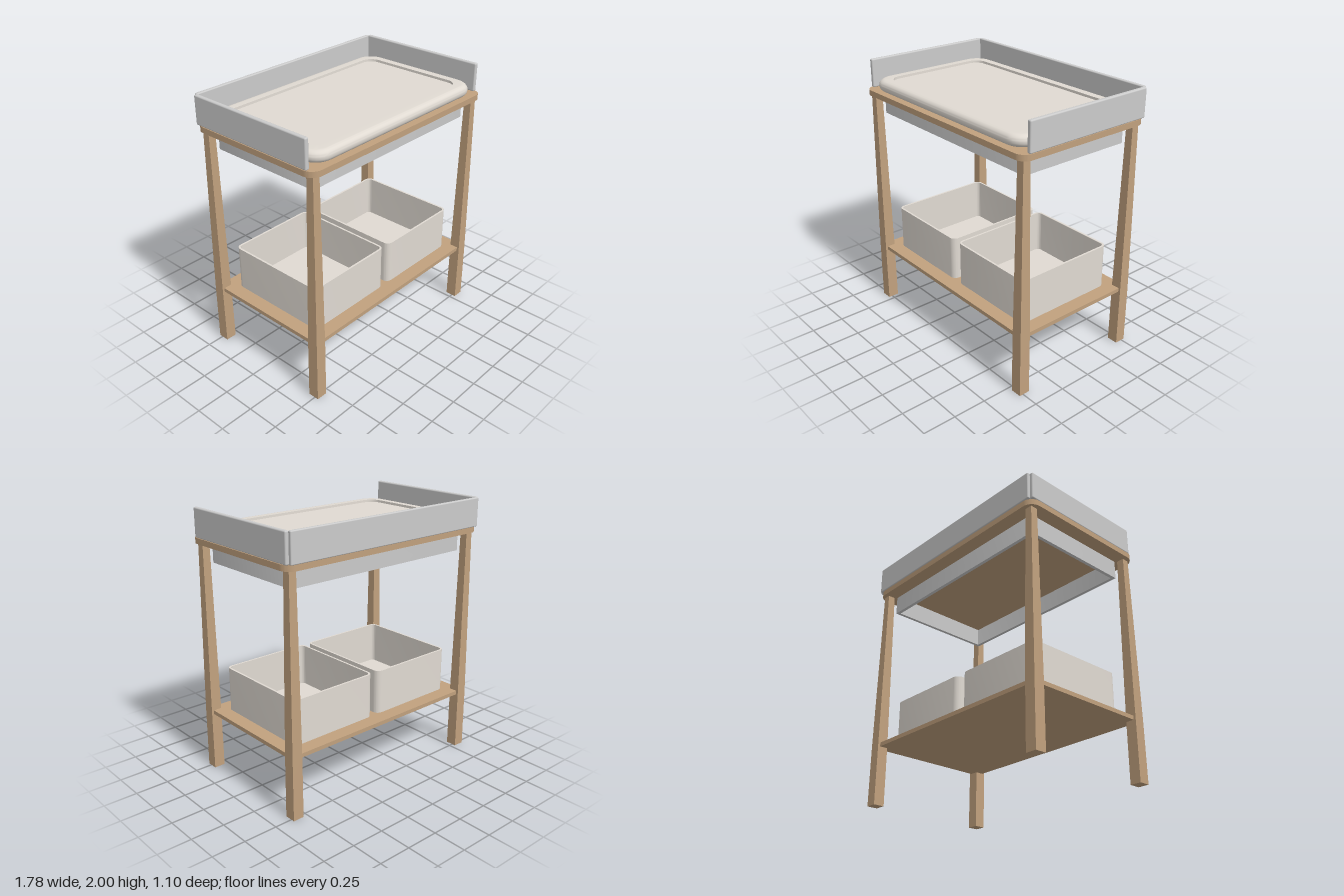
import * as THREE from 'three';
import { toCreasedNormals } from 'three/addons/utils/BufferGeometryUtils.js';
import { RoundedBoxGeometry } from 'three/addons/geometries/RoundedBoxGeometry.js';

const wood = new THREE.MeshStandardMaterial({ color: 0xc1a17e });
const grey = new THREE.MeshStandardMaterial({ color: 0xcccccc });
const fabric = new THREE.MeshStandardMaterial({ color: 0xe0dad2 });

function add(parent, name, geometry, material, x = 0, y = 0, z = 0) {
  const mesh = new THREE.Mesh(geometry, material);
  mesh.name = name;
  mesh.position.set(x, y, z);
  parent.add(mesh);
  return mesh;
}

// Outline of a rectangle with rounded corners, centred on the origin
function roundedRect(w, d, r, Type = THREE.Shape) {
  const s = new Type(), x = w / 2 - r, y = d / 2 - r;
  s.absarc(x, y, r, 0, Math.PI / 2);
  s.absarc(-x, y, r, Math.PI / 2, Math.PI);
  s.absarc(-x, -y, r, Math.PI, Math.PI * 1.5);
  s.absarc(x, -y, r, Math.PI * 1.5, Math.PI * 2);
  s.closePath();
  return s;
}

// Upright slab of a rounded outline, standing on y = 0, optionally hollow
function slab(w, d, r, height, wall = 0) {
  const s = roundedRect(w, d, r);
  if (wall) s.holes.push(roundedRect(w - 2 * wall, d - 2 * wall, Math.max(r - wall, 0.001), THREE.Path));
  const g = new THREE.ExtrudeGeometry(s, { depth: height, bevelEnabled: false, curveSegments: 8 });
  g.rotateX(-Math.PI / 2);
  return toCreasedNormals(g, 0.6);
}

// Cushion: rounded outlines of changing inset and height, joined from bottom to top
function cushion(w, d, r, sections) {
  const n = 8, pos = [], index = [], count = 4 * (n + 1);
  for (const [inset, y] of sections) {
    const radius = Math.max(r - inset * 0.45, 0.02);
    for (let c = 0; c < 4; c++) {
      const sx = c === 0 || c === 3 ? 1 : -1, sz = c < 2 ? 1 : -1;
      for (let i = 0; i <= n; i++) {
        const a = (c + i / n) * Math.PI / 2;
        pos.push(sx * (w / 2 - inset - radius) + radius * Math.cos(a), y,
          -sz * (d / 2 - inset - radius) - radius * Math.sin(a));
      }
    }
  }
  for (let k = 0; k < sections.length - 1; k++) {
    for (let i = 0; i < count; i++) {
      const j = (i + 1) % count, a = k * count, b = a + count;
      index.push(a + i, a + j, b + j, a + i, b + j, b + i);
    }
  }
  // Flat ends
  const last = (sections.length - 1) * count;
  for (let i = 1; i < count - 1; i++) {
    index.push(0, i + 1, i, last, last + i, last + i + 1);
  }
  const g = new THREE.BufferGeometry();
  g.setAttribute('position', new THREE.Float32BufferAttribute(pos, 3));
  g.setIndex(index);
  return toCreasedNormals(g, 0.6);
}

// Square leg, straight up to the shelf and tapering above it
function legGeometry() {
  const h = 1.746, g = new THREE.BoxGeometry(1, h, 1, 1, 2, 1);
  const p = g.attributes.position;
  for (let i = 0; i < p.count; i++) {
    const row = Math.round(p.getY(i) / h * 2) + 1;
    const width = [0.084, 0.082, 0.056][row];
    p.setXYZ(i, p.getX(i) * width, [0, 0.45, h][row], p.getZ(i) * width);
  }
  g.computeVertexNormals();
  return g;
}

export function createModel() {
  const model = new THREE.Group();
  model.name = 'changingTable';

  // Legs
  const leg = legGeometry();
  for (const x of [-0.826, 0.826])
    for (const z of [-0.486, 0.488])
      add(model, (z > 0 ? 'front' : 'back') + 'Leg' + (x > 0 ? 'Left' : 'Right'), leg, wood, x, 0, z);

  // Tabletop, lower shelf and the open frame below the top
  add(model, 'tabletop', slab(1.78, 1.097, 0.08, 0.042), wood, 0, 1.745, 0.001);
  add(model, 'lowerShelf', new THREE.BoxGeometry(1.7, 0.03, 1.02), wood, 0, 0.46, 0.001);
  add(model, 'apron', slab(1.568, 0.888, 0.002, 0.146, 0.025), grey, 0, 1.6, 0.002);

  // Guard panels on the back and both sides
  add(model, 'backPanel', new RoundedBoxGeometry(1.73, 0.213, 0.03, 3, 0.008), grey, 0, 1.8935, -0.54);
  for (const s of [-1, 1])
    add(model, s > 0 ? 'sidePanelLeft' : 'sidePanelRight',
      new RoundedBoxGeometry(0.032, 0.213, 1.027, 3, 0.01), grey, s * 0.874, 1.8935, -0.0195);

  // Mat with rounded edges and a shallow sunken middle
  const edge = [], r = 0.041, bottom = 1.787, top = 1.874;
  for (let i = 0; i <= 16; i++) {
    const a = -Math.PI / 2 + i / 16 * Math.PI;
    edge.push([r - r * Math.cos(a), (a < 0 ? bottom + r : top - r) + r * Math.sin(a)]);
  }
  const sections = [...edge, [0.089, top], [0.09, top - 0.018]];
  add(model, 'mat', cushion(1.65, 1.01, 0.125, sections), fabric, 0, 0, 0.015);

  // Storage baskets
  for (const s of [-1, 1]) {
    const basket = new THREE.Group();
    basket.name = s > 0 ? 'basketLeft' : 'basketRight';
    basket.position.set(s * 0.385, 0.475, 0.003);
    add(basket, 'basketWalls', slab(0.72, 0.806, 0.045, 0.335, 0.015), fabric);
    add(basket, 'basketFloor', slab(0.7, 0.786, 0.035, 0.015), fabric, 0, 0.001, 0);
    model.add(basket);
  }
  return model;
}
